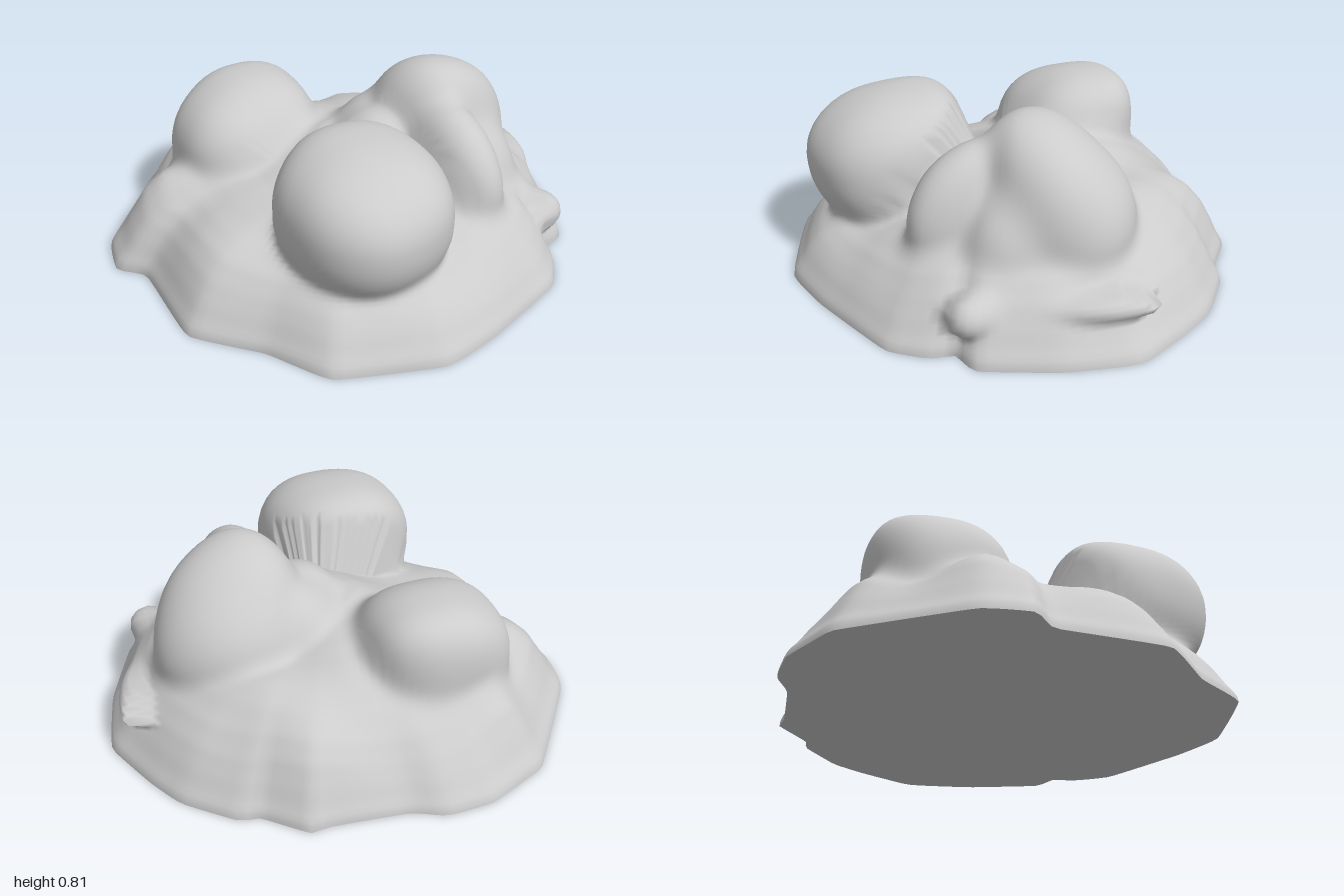
import * as THREE from 'three';

const { lerp, clamp } = THREE.MathUtils;
const AROUND = 140, UP = 70;

// Ground outline as x, z
const outline = [
  [-0.31, -0.97], [-0.11, -0.96], [0.02, -0.89], [0.34, -0.83], [0.42, -0.83], [0.57, -0.68],
  [0.65, -0.66], [0.83, -0.48], [0.91, -0.32], [1, -0.07], [0.98, 0.04], [0.92, 0.24],
  [0.77, 0.53], [0.65, 0.56], [0.62, 0.66], [0.5, 0.79], [0.09, 0.92], [-0.17, 0.96],
  [-0.58, 0.79], [-0.72, 0.53], [-0.93, 0.27], [-0.91, -0.18], [-1, -0.29], [-0.95, -0.48],
  [-0.6, -0.87], [-0.5, -0.91],
];

// Slope of the mound: fraction of the way out, height
const slope = [
  [0, 0.53], [0.15, 0.51], [0.3, 0.46], [0.45, 0.4], [0.6, 0.36], [0.72, 0.32], [0.81, 0.27],
  [0.88, 0.2], [0.93, 0.13], [0.965, 0.07], [0.995, 0.03], [1.002, 0], [2, -4],
];

// Swellings of the skirt: x, z, radius, height
const swellings = [
  [-0.75, -0.38, 0.17, 0.08], [-0.45, -0.74, 0.2, 0.05], [0.4, -0.64, 0.2, 0.04],
  [0.4, -0.36, 0.2, 0.04], [0.05, -0.38, 0.18, 0.06], [-0.3, 0.9, 0.18, 0.06],
  [0.5, 0.3, 0.28, 0.04], [0.7, 0.5, 0.12, 0.04],
];

// Rocks joined into the mound: centre, radii, boxiness (2 is a plain ellipsoid), lean in x and z, turn
const rocks = {
  frontBoulder: { at: [-0.24, 0.46, 0.48], size: [0.335, 0.3, 0.335], box: 2.3, lean: [0.02, -0.08], turn: 0 },
  backBoulder: { at: [-0.3, 0.37, -0.4], size: [0.32, 0.31, 0.29], box: 2.4, lean: [0.05, -0.06], turn: 0 },
  tallBoulder: { at: [0.43, 0.36, 0], size: [0.33, 0.45, 0.3], box: 2, lean: [-0.08, 0.11], turn: 0 },
  frontRidge: { at: [0.28, 0.34, 0.33], size: [0.16, 0.37, 0.28], box: 2.1, lean: [0, -0.1], turn: 0.15 },
  ridgeShoulder: { at: [0.47, 0.28, 0.2], size: [0.2, 0.33, 0.24], box: 2, lean: [-0.05, -0.06], turn: 0 },
  saddle: { at: [0.1, 0.42, 0.06], size: [0.17, 0.19, 0.2], box: 2, lean: [0, 0], turn: 0 },
  saddleCorner: { at: [0.17, 0.4, -0.1], size: [0.17, 0.2, 0.16], box: 2, lean: [0, 0], turn: 0 },
  rimLedge: { at: [0.84, 0.19, 0.06], size: [0.07, 0.055, 0.27], box: 2, lean: [0, 0], turn: -0.4 },
  rimKnob: { at: [0.65, 0.17, 0.5], size: [0.09, 0.08, 0.09], box: 2, lean: [0, 0], turn: 0 },
};

// Smooth, repeatable lumpiness, about -1 to 1
function lump(x, y, z) {
  return (Math.sin(7 * x + 3 * z + 1) * Math.cos(6 * z - 4 * y)
    + 0.6 * Math.sin(13 * z + 9 * y - 5 * x) + 0.4 * Math.cos(17 * x - 8 * z + 6 * y)) / 2;
}

// Height of the bare mound; reach is the distance to the outline in this direction
function moundHeight(x, z, reach) {
  const r = Math.hypot(x, z);
  const s = Math.min(r / lerp(0.92, reach, clamp(r / reach, 0, 1) ** 2), 1.99);
  const i = slope.findIndex(([end]) => end > s);
  const [s0, h0] = slope[i - 1], [s1, h1] = slope[i];
  let h = lerp(h0, h1, (s - s0) / (s1 - s0));
  const fade = clamp(h * 5, 0, 1);
  h *= 1 - 0.2 * Math.max(0, z) * fade;
  for (const [sx, sz, radius, rise] of swellings) {
    h += rise * fade * Math.exp(-((x - sx) ** 2 + (z - sz) ** 2) / radius ** 2);
  }
  return h + 0.025 * fade * lump(x, 0.3, z);
}

// Rough distance outside a rock, negative within
function rockDistance({ at, size, box, lean, turn }, x, y, z) {
  const up = clamp((y - at[1]) / size[1], 0, 1) ** 2;
  const dx = x - at[0] - lean[0] * up, dz = z - at[2] - lean[1] * up;
  const c = Math.cos(turn), s = Math.sin(turn);
  const k = Math.abs((dx * c - dz * s) / size[0]) ** box + Math.abs((y - at[1]) / size[1]) ** box
    + Math.abs((dx * s + dz * c) / size[2]) ** box;
  return (k ** (1 / box) - 1) * Math.min(...size) + 0.01 * lump(x, y, z);
}

// Mound and rocks melted together with soft fillets
function distance(x, y, z, reach) {
  let d = (y - moundHeight(x, z, reach)) * 0.7;
  for (const rock of Object.values(rocks)) {
    const e = rockDistance(rock, x, y, z);
    const soft = Math.min(0.05, Math.min(...rock.size) * 0.4);
    const blend = Math.max(soft - Math.abs(d - e), 0) / soft;
    d = Math.min(d, e) - blend * blend * soft / 4;
  }
  return d;
}

// How far out from the ground centre the surface lies in a given direction
function surfaceRadius(dx, dy, dz, reach) {
  const inside = (r) => distance(dx * r, dy * r, dz * r, reach) < 0;
  let far = 1.15;
  while (far > 0.1 && !inside(far - 0.015)) far -= 0.015;
  let near = far - 0.015;
  for (let i = 0; i < 8; i++) {
    const middle = (near + far) / 2;
    if (inside(middle)) near = middle;
    else far = middle;
  }
  return near;
}

// Mesh from closed rings of points, each ring above or inside the one before
function skin(name, positions, ringCount) {
  const index = [];
  for (let j = 0; j < ringCount - 1; j++) {
    for (let i = 0; i < AROUND; i++) {
      const n = (i + 1) % AROUND, a = j * AROUND + i, b = j * AROUND + n;
      index.push(a, a + AROUND, b, b, a + AROUND, b + AROUND);
    }
  }
  const geometry = new THREE.BufferGeometry();
  geometry.setAttribute('position', new THREE.Float32BufferAttribute(positions, 3));
  geometry.setIndex(index);
  geometry.computeVertexNormals();
  const mesh = new THREE.Mesh(geometry, new THREE.MeshStandardMaterial({ color: 0xcccccc }));
  mesh.name = name;
  return mesh;
}

export function createModel() {
  const curve = new THREE.CatmullRomCurve3(
    outline.map(([x, z]) => new THREE.Vector3(x, 0, z)), true, 'catmullrom', 0.15);
  const edge = curve.getSpacedPoints(AROUND).slice(0, AROUND);

  // Rocky upper surface, swept from the rim up to the crown
  const top = [];
  for (let j = 0; j <= UP; j++) {
    const angle = (j / UP) * Math.PI / 2;
    for (const e of edge) {
      const reach = e.length();
      const dx = e.x / reach * Math.cos(angle), dy = Math.sin(angle), dz = e.z / reach * Math.cos(angle);
      const r = j === 0 ? reach : surfaceRadius(dx, dy, dz, reach);
      top.push(dx * r, dy * r, dz * r);
    }
  }

  // Flat underside
  const bottom = [...edge.map(() => [0, 0, 0]), ...edge.map((e) => e.toArray())].flat();

  const model = new THREE.Group();
  model.name = 'boulderMound';
  model.add(skin('rocks', top, UP + 1), skin('underside', bottom, 2));
  return model;
}
